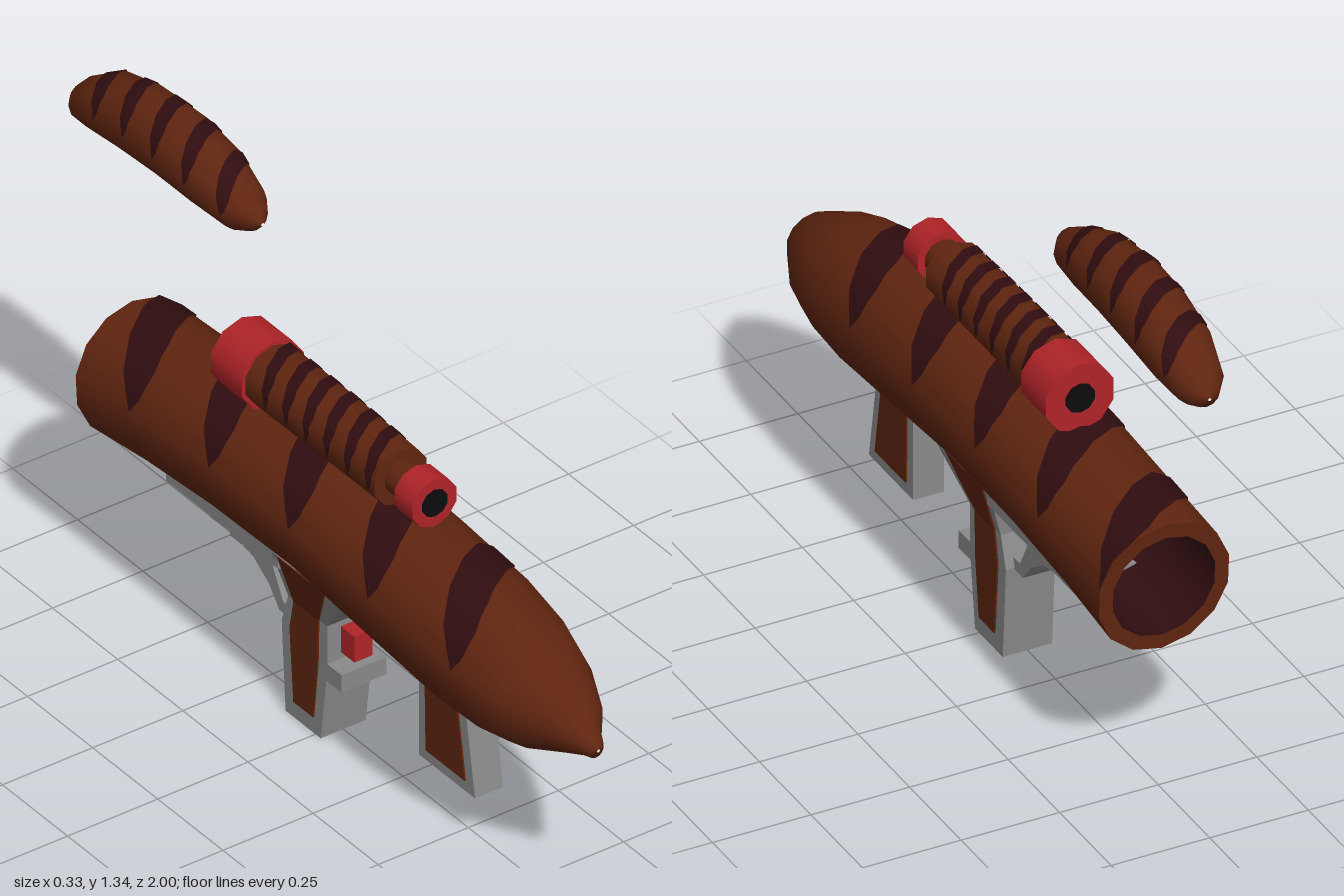
import * as THREE from 'three';

const mat = (name, color, side = THREE.FrontSide) => {
  const m = new THREE.MeshStandardMaterial({ color, side });
  m.name = name;
  return m;
};

export function createModel() {
  const model = new THREE.Group();
  const brown = mat('grilledBrown', 0x602510);
  const char = mat('charredStripe', 0x300d10, THREE.DoubleSide);
  const red = mat('red', 0xb02428);
  const grey = mat('metalGrey', 0x8a8a8a);
  const black = mat('lensBlack', 0x0c0c0c);

  const add = (name, geo, material, parent = model) => {
    const mesh = new THREE.Mesh(geo, material);
    mesh.name = name;
    parent.add(mesh);
    return mesh;
  };
  const group = (name) => {
    const g = new THREE.Group();
    g.name = name;
    model.add(g);
    return g;
  };

  // A section is [z, centreY, radiusX, radiusY, lean]; angle 0 is the top, growing toward +x
  const point = ([z, y, rx, ry, lean = 0], a, out = 0) => {
    const dy = Math.cos(a) * (ry + out);
    return [Math.sin(a) * (rx + out), y + dy, z + lean * dy];
  };
  const surface = (pos, idx) => {
    const g = new THREE.BufferGeometry();
    g.setAttribute('position', new THREE.Float32BufferAttribute(pos, 3));
    g.setIndex(idx);
    g.computeVertexNormals();
    return g;
  };
  // Skin through sections ordered from front to back
  const loft = (sections, sides) => {
    const pos = [], idx = [];
    sections.forEach((s, j) => {
      for (let i = 0; i < sides; i++) {
        pos.push(...point(s, (i / sides) * Math.PI * 2));
        if (j === sections.length - 1) continue;
        const a = j * sides + i, b = j * sides + ((i + 1) % sides);
        idx.push(a, b, a + sides, b, b + sides, a + sides);
      }
    });
    return surface(pos, idx);
  };
  const sectionAt = (sections, z) => {
    let j = 0;
    while (j < sections.length - 2 && z < sections[j + 1][0]) j++;
    const p = sections[j], q = sections[j + 1];
    const t = THREE.MathUtils.clamp((z - p[0]) / (q[0] - p[0]), 0, 1);
    return [0, 1, 2, 3, 4].map((k) => THREE.MathUtils.lerp(p[k] ?? 0, q[k] ?? 0, t));
  };
  // Slanting grill mark that hugs a skin and narrows to a point at each side
  const grillMark = (sections, sides, reach, zMid, slant, width, out) => {
    const pos = [], idx = [], across = 4, n = reach * 2;
    for (let i = -n; i <= n; i++) {
      const t = i / n, a = (i / 2 / sides) * Math.PI * 2;
      const half = (width / 2) * (1 - Math.abs(t) ** 3);
      const mid = zMid - slant * Math.sin(a);
      // Half steps lie on the flat between two corners
      const lo = (Math.floor(i / 2) / sides) * Math.PI * 2, hi = (Math.ceil(i / 2) / sides) * Math.PI * 2;
      for (let k = 0; k <= across; k++) {
        const s = sectionAt(sections, mid + half * (1 - (2 * k) / across));
        const p = point(s, lo, out), q = point(s, hi, out);
        pos.push(...p.map((v, c) => (v + q[c]) / 2));
        if (i < n && k < across) {
          const b = (i + n) * (across + 1) + k, d = b + across + 1;
          idx.push(b, d, b + 1, d, d + 1, b + 1);
        }
      }
    }
    return surface(pos, idx);
  };
  // Side outline in (z, y) given thickness along x; flare widens the top edge
  const sidePlate = (pts, half, topHalf = half) => {
    const shape = new THREE.Shape(pts.map(([z, y]) => new THREE.Vector2(z, y)));
    const g = new THREE.ExtrudeGeometry(shape, { depth: 2 * half, bevelEnabled: false });
    g.translate(0, 0, -half).rotateY(-Math.PI / 2);
    if (topHalf !== half) {
      const p = g.attributes.position, top = Math.max(...pts.map((v) => v[1]));
      for (let i = 0; i < p.count; i++) {
        if (p.getY(i) > top - 0.001) p.setX(i, Math.sign(p.getX(i)) * topHalf);
      }
      g.computeVertexNormals();
    }
    return g;
  };
  const box = (w, y0, y1, z0, z1) =>
    new THREE.BoxGeometry(w, y1 - y0, z1 - z0).translate(0, (y0 + y1) / 2, (z0 + z1) / 2);

  // Main sausage barrel
  const barrel = group('barrel');
  const body = [
    [1, 0.49, 0.004, 0.004], [0.99, 0.49, 0.022, 0.024], [0.965, 0.497, 0.034, 0.036],
    [0.915, 0.515, 0.074, 0.071], [0.8, 0.522, 0.128, 0.126], [0.7, 0.533, 0.152, 0.154],
    [0.55, 0.548, 0.165, 0.169], [0.3, 0.568, 0.167, 0.166], [0, 0.588, 0.167, 0.158],
    [-0.3, 0.583, 0.167, 0.158], [-0.55, 0.566, 0.167, 0.161], [-0.778, 0.545, 0.168, 0.171, -0.07],
  ];
  const rim = [-0.778, 0.545, 0.132, 0.134, -0.07];
  const deep = [-0.35, 0.575, 0.125, 0.125];
  add('barrelSkin', loft(body, 14), brown, barrel);
  add('barrelRim', loft([body[body.length - 1], rim], 14), brown, barrel);
  add('barrelBore', loft([rim, deep, [deep[0], deep[1], 0.001, 0.001]], 14), char, barrel);
  for (const z of [0.54, 0.235, -0.07, -0.375, -0.68]) {
    add('barrelGrillMark', grillMark(body, 14, 3, z, 0.11, 0.12, 0.004), char, barrel);
  }

  // Sausage sight on top
  const scope = group('scope');
  const tube = [
    [0.24, 0.813, 0.076, 0.074], [0, 0.818, 0.08, 0.077], [-0.26, 0.818, 0.08, 0.08],
  ];
  const disc = (s, end, sides) => loft(end > 0 ? [[s[0], s[1], 0.001, 0.001], s] : [s, [s[0], s[1], 0.001, 0.001]], sides);
  add('scopeTube', loft(tube, 10), brown, scope);
  add('scopeTubeFront', disc(tube[0], 1, 10), brown, scope);
  for (let i = 0; i < 6; i++) {
    add('scopeGrillMark', grillMark(tube, 10, 3, 0.18 - i * 0.078, 0.04, 0.038, 0.003), char, scope);
  }
  const round = (name, r, z0, z1, y, material) =>
    add(name, new THREE.CylinderGeometry(r, r, z1 - z0, 10).rotateX(Math.PI / 2)
      .translate(0, y, (z0 + z1) / 2), material, scope);
  round('scopeNeck', 0.045, 0.23, 0.31, 0.815, brown);
  round('scopeFrontRing', 0.064, 0.3, 0.37, 0.815, red);
  round('scopeRearRing', 0.09, -0.37, -0.25, 0.817, red);
  round('scopeFrontLens', 0.036, 0.365, 0.373, 0.815, black);
  round('scopeRearLens', 0.038, -0.373, -0.365, 0.817, black);

  // Loose sausage hovering above the rear
  const shot = group('sausageShot');
  const link = [
    [-0.29, 1.205, 0.004, 0.004], [-0.315, 1.208, 0.033, 0.033], [-0.36, 1.212, 0.062, 0.055],
    [-0.47, 1.236, 0.08, 0.079], [-0.6, 1.246, 0.085, 0.09], [-0.74, 1.238, 0.085, 0.091],
    [-0.87, 1.215, 0.08, 0.08], [-0.95, 1.185, 0.062, 0.056], [-0.985, 1.172, 0.034, 0.032],
    [-1, 1.168, 0.004, 0.004],
  ];
  add('sausageShotSkin', loft(link, 12), brown, shot);
  for (let i = 0; i < 5; i++) {
    add('sausageShotGrillMark', grillMark(link, 12, 3, -0.41 - i * 0.115, 0.045, 0.046, 0.003), char, shot);
  }

  // Front grip with brown side panels
  const front = group('frontGrip');
  add('frontGripFrame', sidePlate([[0.58, 0.14], [0.365, 0.14], [0.365, 0.44], [0.53, 0.44]], 0.039), grey, front);
  add('frontGripPanel', sidePlate([[0.545, 0.17], [0.395, 0.17], [0.39, 0.43], [0.503, 0.43]], 0.043), brown, front);

  // Rear grip, flaring outward where it meets the barrel
  const rear = group('rearGrip');
  add('rearGripFrame', sidePlate([
    [0.02, 0], [-0.115, 0], [-0.13, 0.24], [-0.105, 0.32], [0.045, 0.32], [0.045, 0.2],
  ], 0.0625), grey, rear);
  add('rearGripFlare', sidePlate([[-0.105, 0.32], [-0.12, 0.45], [0.155, 0.45], [0.045, 0.32]], 0.0625, 0.1), grey, rear);
  add('rearGripPanel', sidePlate([
    [-0.005, 0.045], [-0.08, 0.045], [-0.095, 0.24], [-0.08, 0.32], [0.015, 0.32], [0.012, 0.2],
  ], 0.0665), brown, rear);
  add('rearGripPanelTop', sidePlate([[-0.08, 0.32], [-0.09, 0.45], [0.09, 0.45], [0.015, 0.32]], 0.0665, 0.104), brown, rear);

  // Trigger shelf and red button
  add('triggerShelf', box(0.125, 0.17, 0.217, 0.02, 0.1), grey);
  add('triggerButton', box(0.05, 0.235, 0.305, 0.04, 0.097), red);

  // Mounting rail, rear guard and catch
  const railShape = new THREE.Shape([
    [-0.095, 0.45], [-0.095, 0.41], [-0.06, 0.388], [0.06, 0.388], [0.095, 0.41], [0.095, 0.45],
  ].map(([x, y]) => new THREE.Vector2(x, y)));
  add('mountRail', new THREE.ExtrudeGeometry(railShape, { depth: 0.43, bevelEnabled: false }).translate(0, 0, -0.53), grey);
  add('mountRailFront', box(0.12, 0.408, 0.45, 0.1, 0.3), grey);
  add('rearGuard', sidePlate([
    [-0.11, 0.265], [-0.155, 0.265], [-0.195, 0.34], [-0.19, 0.4], [-0.455, 0.4], [-0.435, 0.34],
    [-0.37, 0.345], [-0.27, 0.325], [-0.21, 0.285], [-0.17, 0.235], [-0.11, 0.235],
  ], 0.04), grey);
  add('guardCatch', box(0.05, 0.315, 0.36, -0.38, -0.335), grey);

  return model;
}
